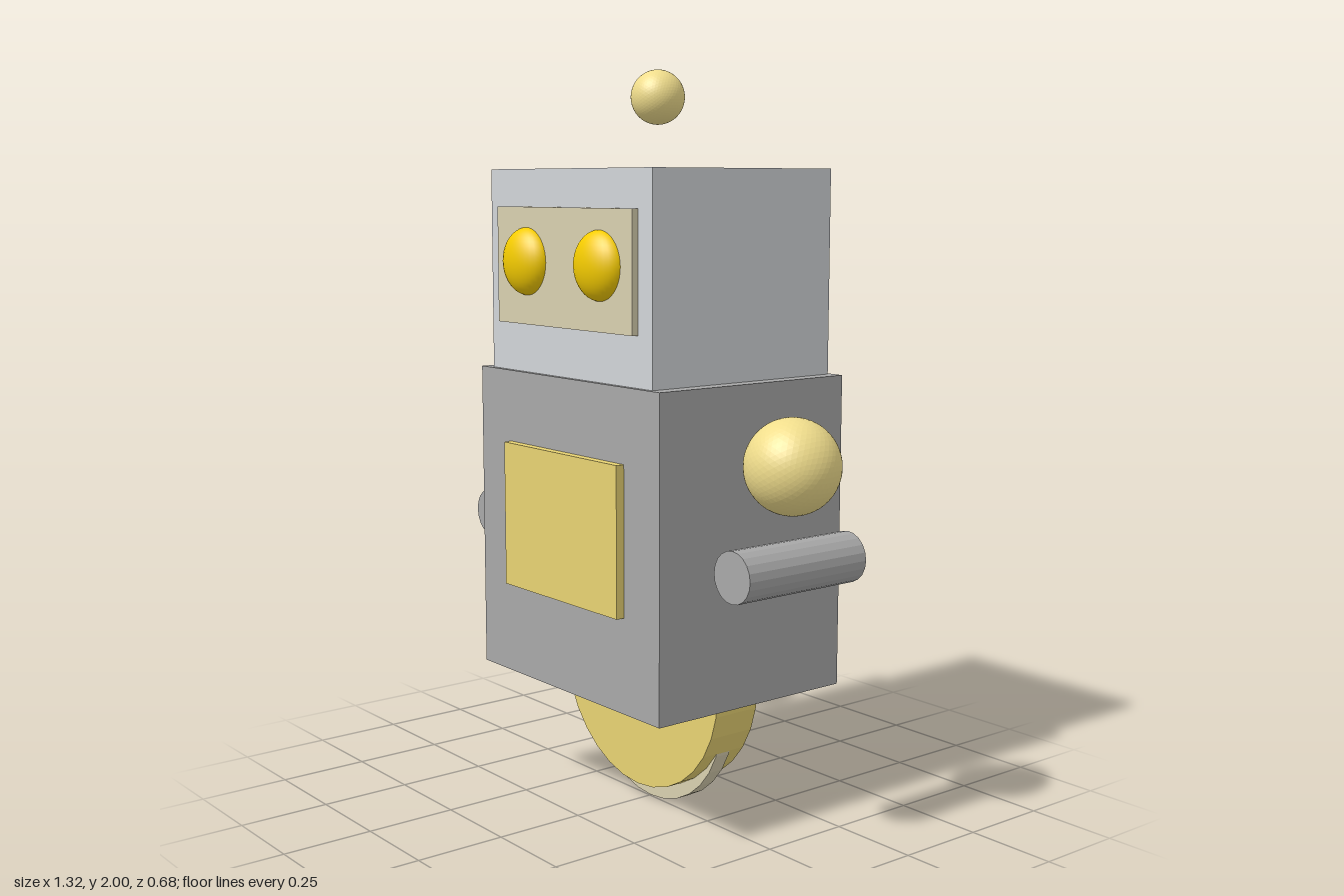
import * as THREE from 'three';

const Z = -0.027; // common depth centre of the main parts

const material = (color) => new THREE.MeshStandardMaterial({ color, flatShading: true });

export function createModel() {
  const robot = new THREE.Group();
  robot.name = 'robot';

  const grey = material(0xa8a8a8);
  const lightGrey = material(0xd2d5d8);
  const yellow = material(0xe8d373);
  const paleYellow = material(0xf0dd8c);
  const cream = material(0xd9d0b0);
  const gold = material(0xf5cc00);
  gold.flatShading = false;

  const add = (name, geometry, mat, x, y, z) => {
    const mesh = new THREE.Mesh(geometry, mat);
    mesh.name = name;
    mesh.position.set(x, y, z);
    robot.add(mesh);
    return mesh;
  };
  const box = (name, w, h, d, mat, y, z) =>
    add(name, new THREE.BoxGeometry(w, h, d), mat, 0, y, z);
  // Cylinder whose axis runs front to back
  const disc = (name, r, depth, sides, mat, x, y, z) =>
    add(name, new THREE.CylinderGeometry(r, r, depth, sides).rotateX(Math.PI / 2), mat, x, y, z);
  const ball = (name, r, mat, x, y, z) =>
    add(name, new THREE.IcosahedronGeometry(r, 9), mat, x, y, z);

  // Body and head with their raised panels
  box('body', 0.79, 0.845, 0.62, grey, 0.7775, Z);
  box('head', 0.706, 0.54, 0.596, lightGrey, 1.47, Z);
  box('chestPanel', 0.504, 0.396, 0.04, yellow, 0.807, 0.287);
  box('facePanel', 0.592, 0.31, 0.04, cream, 1.486, 0.27);

  // Ball hovering over the head
  ball('antennaBall', 0.072, paleYellow, 0, 1.928, Z);

  // Eyes, shoulders and arms, mirrored
  for (const [side, s] of [['left', 1], ['right', -1]]) {
    const eye = add(side + 'Eye', new THREE.SphereGeometry(0.09, 32, 20), gold, s * 0.16, 1.498, 0.285);
    eye.scale.z = 0.6;
    ball(side + 'Shoulder', 0.124, paleYellow, s * 0.538, 1.005, Z);
    disc(side + 'Arm', 0.067, 0.396, 20, grey, s * 0.538, 0.75, Z);
  }

  // Wheel with a thin tread running lower through its middle
  disc('wheel', 0.34, 0.14, 32, yellow, 0, 0.385, Z);
  disc('wheelTread', 0.302, 0.046, 32, cream, 0, 0.302, Z);

  return robot;
}
